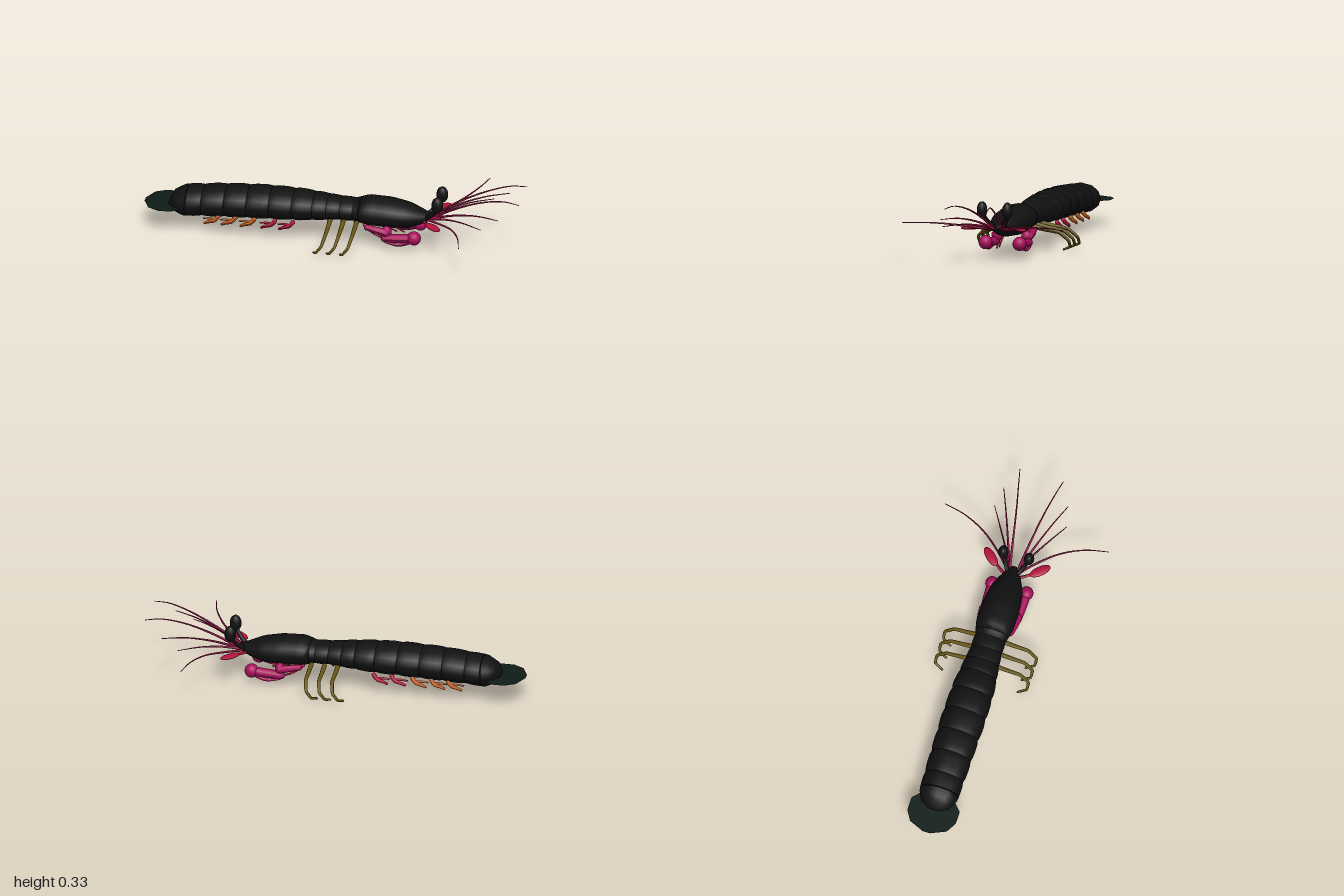
import * as THREE from 'three';

const mat = (name, color, side = THREE.FrontSide) => {
  const m = new THREE.MeshStandardMaterial({ color, side });
  m.name = name;
  return m;
};

export function createModel() {
  const model = new THREE.Group();
  model.name = 'mantisShrimp';
  const shell = mat('blackShell', 0x111111);
  const fanMat = mat('darkGreenFan', 0x0e1c17, THREE.DoubleSide);
  const magenta = mat('magentaClaw', 0xa8105c);
  const crimson = mat('crimson', 0xb5123c);
  const wine = mat('wineAntenna', 0x8a1040);
  const olive = mat('oliveLeg', 0x685614);
  const orange = mat('orangeSwimmeret', 0xbe5c1c);

  const add = (name, geo, m, parent = model) => {
    const mesh = new THREE.Mesh(geo, m);
    mesh.name = name;
    parent.add(mesh);
    return mesh;
  };

  // Tapered tube through points, closed by a small ball at each end
  const limb = (name, pts, r0, r1, m, { s = 1, seg = 14, sides = 8, smooth = true } = {}) => {
    const v = pts.map(p => new THREE.Vector3(p[0], p[1], p[2] * s));
    let curve = new THREE.CatmullRomCurve3(v);
    if (!smooth) {
      curve = new THREE.CatmullRomCurve3(v, false, 'catmullrom', 0.12);
    }
    const geo = new THREE.TubeGeometry(curve, seg, 1, sides);
    const pos = geo.attributes.position, c = new THREE.Vector3(), p = new THREE.Vector3();
    for (let i = 0; i <= seg; i++) {
      curve.getPointAt(i / seg, c);
      const r = r0 + (r1 - r0) * i / seg;
      for (let j = 0; j <= sides; j++) {
        const k = i * (sides + 1) + j;
        p.fromBufferAttribute(pos, k).sub(c).multiplyScalar(r).add(c);
        pos.setXYZ(k, p.x, p.y, p.z);
      }
    }
    geo.computeVertexNormals();
    const g = new THREE.Group();
    g.name = name;
    add(name + 'Shaft', geo, m, g);
    [[v[0], r0], [v[v.length - 1], r1]].forEach(([q, r]) =>
      add(name + 'End', new THREE.SphereGeometry(r, 8, 6), m, g).position.copy(q));
    model.add(g);
  };

  const ellipsoid = (name, [x, y, z], [a, b, c], m, rotY = 0, rotZ = 0) => {
    const e = add(name, new THREE.SphereGeometry(1, 16, 12), m);
    e.position.set(x, y, z);
    e.scale.set(a, b, c);
    e.rotation.set(0, rotY, rotZ);
  };

  // Body profile: x, half width, top, bottom
  const profile = [
    [-0.87, 0.03, 0.155, 0.14], [-0.845, 0.075, 0.205, 0.1], [-0.79, 0.104, 0.236, 0.077],
    [-0.7, 0.108, 0.246, 0.084], [-0.55, 0.112, 0.26, 0.09], [-0.35, 0.116, 0.267, 0.098],
    [-0.18, 0.112, 0.262, 0.104], [-0.05, 0.095, 0.25, 0.115], [0.03, 0.085, 0.241, 0.122],
    [0.12, 0.084, 0.237, 0.122], [0.18, 0.1, 0.258, 0.108], [0.3, 0.1, 0.254, 0.1],
    [0.4, 0.086, 0.234, 0.108], [0.47, 0.055, 0.205, 0.13], [0.53, 0.014, 0.178, 0.162]
  ];
  const section = x => {
    let i = 0;
    while (i < profile.length - 2 && x > profile[i + 1][0]) i++;
    const a = profile[i], b = profile[i + 1];
    const t = (x - a[0]) / (b[0] - a[0]);
    return [1, 2, 3].map(k => a[k] + (b[k] - a[k]) * t);
  };
  // Loft between two x values; each ring swells in the middle by a given share
  const loft = (name, x0, x1, swell, steps) => {
    const n = 12, pos = [], idx = [];
    for (let i = 0; i <= steps; i++) {
      const t = i / steps, x = x0 + (x1 - x0) * t;
      const [w, top, bot] = section(x);
      const f = 1 - swell * Math.pow(Math.abs(2 * t - 1), 3);
      for (let j = 0; j < n; j++) {
        const a = j / n * Math.PI * 2;
        pos.push(x, (top + bot) / 2 + Math.cos(a) * (top - bot) / 2 * f, Math.sin(a) * w * f);
        if (i < steps) {
          const p = i * n + j, q = i * n + (j + 1) % n;
          idx.push(p, q, p + n, q, q + n, p + n);
        }
      }
    }
    for (const [ring, x, flip] of [[0, x0, false], [steps, x1, true]]) {
      const [, top, bot] = section(x), c = pos.length / 3;
      pos.push(x, (top + bot) / 2, 0);
      for (let j = 0; j < n; j++) {
        const p = ring * n + j, q = ring * n + (j + 1) % n;
        flip ? idx.push(c, p, q) : idx.push(c, q, p);
      }
    }
    const geo = new THREE.BufferGeometry();
    geo.setAttribute('position', new THREE.Float32BufferAttribute(pos, 3));
    geo.setIndex(idx);
    geo.computeVertexNormals();
    add(name, geo, shell);
  };

  loft('telson', -0.87, -0.77, 0, 4);
  const abdomen = [-0.81, -0.69, -0.57, -0.45, -0.33, -0.21, -0.1];
  const thorax = [-0.1, -0.03, 0.04, 0.11, 0.17];
  for (let i = 0; i < 6; i++) loft('abdomenSegment', abdomen[i] - 0.012, abdomen[i + 1] + 0.012, 0.1, 8);
  for (let i = 0; i < 4; i++) loft('thoraxSegment', thorax[i] - 0.012, thorax[i + 1] + 0.012, 0.08, 6);
  loft('carapace', 0.14, 0.53, 0, 16);

  // Flat tail fan
  const half = [[-1, 0.02], [-0.965, 0.1], [-0.91, 0.132], [-0.84, 0.132], [-0.8, 0.095]];
  const outline = [...half, ...half.map(([x, z]) => [x, -z]).reverse()];
  const fan = add('tailFan', new THREE.ShapeGeometry(
    new THREE.Shape(outline.map(([x, z]) => new THREE.Vector2(x, z)))), fanMat);
  fan.rotation.x = -Math.PI / 2;
  fan.position.y = 0.142;

  for (const s of [1, -1]) {
    // Stalked eyes
    limb('eyeStalk', [[0.49, 0.17, 0.025], [0.53, 0.205, 0.05], [0.56, 0.25, 0.07]], 0.012, 0.011, shell, { s, seg: 6 });
    ellipsoid('eye', [0.56, 0.268, 0.07 * s], [0.031, 0.045, 0.027], shell);

    // Antennules and long antenna
    const opt = { s, seg: 20, sides: 6 };
    limb('antennuleBase', [[0.49, 0.165, 0.015], [0.53, 0.172, 0.025], [0.57, 0.19, 0.034]], 0.009, 0.007, crimson, { s, seg: 6 });
    limb('upperAntennule', [[0.51, 0.165, 0.02], [0.65, 0.245, 0.045], [0.8, 0.307, 0.073], [0.92, 0.333, 0.1], [1, 0.328, 0.118]], 0.007, 0.002, wine, opt);
    limb('middleAntennule', [[0.51, 0.165, 0.02], [0.64, 0.217, 0.07], [0.78, 0.25, 0.125], [0.9, 0.257, 0.175]], 0.007, 0.002, wine, opt);
    limb('lowerAntennule', [[0.51, 0.165, 0.02], [0.61, 0.193, 0.075], [0.7, 0.207, 0.13], [0.81, 0.207, 0.197]], 0.007, 0.002, wine, opt);
    limb('longAntenna', [[0.5, 0.16, 0.025], [0.58, 0.178, 0.105], [0.66, 0.2, 0.21], [0.715, 0.21, 0.33], [0.742, 0.207, 0.445]], 0.007, 0.002, wine, opt);

    // Leaf-shaped antennal scale
    limb('scaleStalk', [[0.48, 0.155, 0.03], [0.5, 0.162, 0.07], [0.53, 0.17, 0.11]], 0.009, 0.007, crimson, { s, seg: 5 });
    ellipsoid('antennalScale', [0.547, 0.17, 0.134 * s], [0.06, 0.01, 0.026], crimson, -s * 0.82);

    // Folded striking claw
    limb('clawUpperArm', [[0.19, 0.118, 0.085], [0.24, 0.11, 0.092], [0.29, 0.1, 0.094]], 0.016, 0.022, magenta, { s, seg: 6 });
    ellipsoid('clawElbow', [0.292, 0.1, 0.08 * s], [0.028, 0.032, 0.028], magenta);
    limb('clawForearm', [[0.285, 0.068, 0.09], [0.35, 0.072, 0.093], [0.44, 0.08, 0.094]], 0.022, 0.026, magenta, { s, seg: 6, sides: 10 });
    ellipsoid('clawClub', [0.44, 0.081, 0.094 * s], [0.037, 0.037, 0.036], magenta);
    limb('clawFinger', [[0.41, 0.055, 0.1], [0.36, 0.04, 0.104], [0.29, 0.05, 0.1]], 0.011, 0.006, magenta, { s, seg: 6 });

    // Small mouth legs
    for (const x of [0.17, 0.21]) {
      limb('mouthLeg', [[x, 0.12, 0.06], [x + 0.05, 0.085, 0.075], [x + 0.1, 0.06, 0.07], [x + 0.15, 0.042, 0.06]], 0.007, 0.004, crimson, { s, seg: 8 });
    }

    // Walking legs
    for (const x of [-0.01, 0.06, 0.13]) {
      limb('walkingLeg', [[x, 0.13, 0.06], [x, 0.118, 0.12], [x, 0.106, 0.2], [x - 0.012, 0.064, 0.249],
        [x - 0.04, 0.027, 0.249], [x - 0.06, 0.008, 0.206]], 0.013, 0.006, olive, { s, seg: 30, smooth: false });
    }

    // Swimmerets
    [-0.63, -0.54, -0.44, -0.33, -0.235].forEach((x, i) => {
      const m = i < 3 ? orange : crimson;
      limb('swimmeret', [[x + 0.03, 0.108, 0.07], [x + 0.012, 0.088, 0.08], [x - 0.02, 0.078, 0.082], [x - 0.04, 0.068, 0.078]], 0.012, 0.007, m, { s, seg: 8 });
      limb('swimmeretBranch', [[x + 0.012, 0.09, 0.08], [x - 0.01, 0.09, 0.066], [x - 0.05, 0.086, 0.06]], 0.009, 0.004, m, { s, seg: 6 });
    });
  }
  return model;
}
